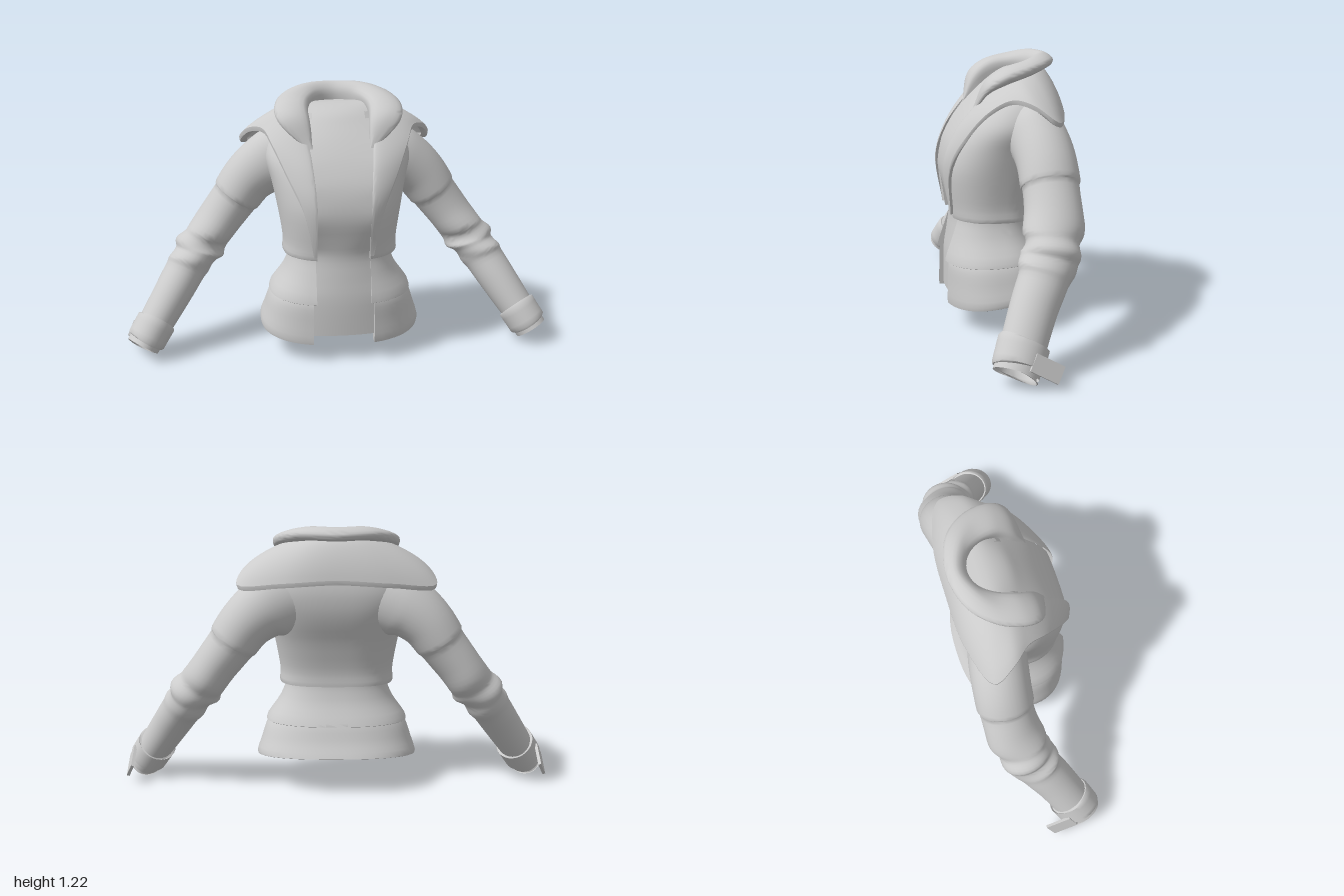
import * as THREE from 'three';
import { mergeVertices, toCreasedNormals } from 'three/addons/utils/BufferGeometryUtils.js';

const V = (x, y, z) => new THREE.Vector3(x, y, z);
const material = new THREE.MeshStandardMaterial({ color: 0xcccccc, side: THREE.DoubleSide });

function part(name, geometry) {
  const mesh = new THREE.Mesh(geometry, material);
  mesh.name = name;
  return mesh;
}

// Surface through a grid of points given by point(i / nu, j / nv, i)
function grid(point, nu, nv) {
  const pos = [], index = [];
  for (let j = 0; j <= nv; j++) {
    for (let i = 0; i <= nu; i++) {
      pos.push(...point(i / nu, j / nv, i).toArray());
      if (i < nu && j < nv) {
        const a = j * (nu + 1) + i, b = a + nu + 1;
        index.push(a, a + 1, b + 1, a, b + 1, b);
      }
    }
  }
  const geo = new THREE.BufferGeometry();
  geo.setAttribute('position', new THREE.Float32BufferAttribute(pos, 3));
  geo.setIndex(index);
  return toCreasedNormals(mergeVertices(geo, 1e-4), 0.9);
}

// Smooth curve through rows of six numbers
function rowSpline(rows) {
  const c1 = new THREE.CatmullRomCurve3(rows.map(r => V(r[0], r[1], r[2])));
  const c2 = new THREE.CatmullRomCurve3(rows.map(r => V(r[3], r[4], r[5])));
  return t => [...c1.getPoint(t).toArray(), ...c2.getPoint(t).toArray()];
}

// Body layer: rows are [front y, back y, half width, front z, back z, centre z].
// It wraps round the back from one front edge to the other, with folded edges;
// a lower backPower squares the back off.
const BOX = 0.83;
const power = (s, e) => Math.sign(s) * Math.abs(s) ** e;
function bodyLayer(rows, edge, backPower = BOX) {
  const at = rowSpline(rows), nu = 56;
  return grid((u, v, i) => {
    const [yf, yb, w, zf, zb, zc] = at(v);
    const k = THREE.MathUtils.clamp((i - 1) / (nu - 2), 0, 1);
    const a0 = Math.asin(Math.min(1, (edge / w) ** (1 / BOX)));
    const a = a0 + (Math.PI * 2 - 2 * a0) * k;
    const e = Math.cos(a) > 0 ? BOX : backPower;
    const c = power(Math.cos(a), e);
    const fold = i === 0 || i === nu ? 0.025 : 0;
    return V(w * power(Math.sin(a), e), THREE.MathUtils.lerp(yb, yf, (c + 1) / 2),
      zc + (c > 0 ? zf - zc : zc - zb) * c - fold);
  }, nu, (rows.length - 1) * 4);
}

// Front panel in the opening, from [y, half width, depth at centre, depth at side]
function panel(rows) {
  const at = rowSpline(rows.map(r => [...r, 0, 0]));
  return grid((u, v) => {
    const [y, w, z, side] = at(v), s = u * 2 - 1;
    return V(s * w, y, THREE.MathUtils.lerp(z, side, s * s));
  }, 12, 44);
}

// Surface across symmetric curves, each given by its left half from front to back
function drape(halves, nu, nv, bulge = 0) {
  const curves = halves.map(h => new THREE.CatmullRomCurve3([
    ...h.map(p => V(...p)), ...h.slice(0, -1).reverse().map(p => V(-p[0], p[1], p[2]))]));
  return grid((u, v) => {
    const across = new THREE.CatmullRomCurve3(curves.map(c => c.getPoint(u)));
    const p = across.getPoint(v);
    const lift = bulge * Math.sin(Math.PI * v) * Math.sin(Math.PI * u);
    return p.add(V(p.x * 2, 0.6, p.z * 2).multiplyScalar(lift));
  }, nu, nv);
}

// Tube with oval rings: rows are [x, y, z, radius across, radius front to back, wrinkle]
function ovalTube(rows, steps) {
  const at = rowSpline(rows);
  return grid((u, v) => {
    const [x, y, z, r1, r2, wrinkle] = at(v);
    const a = at(Math.max(0, v - 0.03)), b = at(Math.min(1, v + 0.03));
    const t = V(b[0] - a[0], b[1] - a[1], b[2] - a[2]).normalize();
    const n = V(-t.y, t.x, 0).normalize(), m = V(0, 0, 0).crossVectors(t, n);
    const ang = u * Math.PI * 2;
    const k = 1 + wrinkle * Math.sin(ang * 2 + v * 25);
    return V(x, y, z).addScaledVector(n, r1 * k * Math.cos(ang))
      .addScaledVector(m, r2 * k * Math.sin(ang))
      .addScaledVector(t, wrinkle * 0.5 * Math.sin(ang + 1));
  }, 32, (rows.length - 1) * steps);
}

function buildSleeve() {
  const arm = new THREE.Group();
  arm.add(part('sleeve', ovalTube([
    [0.21, 0.90, -0.105, 0.155, 0.125, 0],
    [0.28, 0.875, -0.12, 0.155, 0.128, 0],
    [0.34, 0.845, -0.13, 0.138, 0.13, 0],
    [0.41, 0.785, -0.138, 0.124, 0.13, 0],
    [0.465, 0.71, -0.14, 0.117, 0.13, 0],
    [0.473, 0.698, -0.14, 0.109, 0.123, 0],
    [0.54, 0.61, -0.135, 0.104, 0.123, 0.02],
    [0.60, 0.53, -0.122, 0.105, 0.126, 0.05],
    [0.622, 0.50, -0.113, 0.098, 0.118, 0.05],
    [0.65, 0.465, -0.10, 0.108, 0.127, 0.07],
    [0.672, 0.435, -0.085, 0.096, 0.116, 0.05],
    [0.695, 0.405, -0.07, 0.099, 0.117, 0.05],
    [0.72, 0.37, -0.05, 0.091, 0.108, 0.02],
    [0.78, 0.28, 0.002, 0.088, 0.10, 0],
    [0.865, 0.152, 0.065, 0.080, 0.095, 0],
    [0.925, 0.06, 0.107, 0.076, 0.095, 0]], 4)));
  arm.add(part('sleeveLining', ovalTube([
    [0.78, 0.28, 0.002, 0.072, 0.085, 0],
    [0.865, 0.152, 0.065, 0.067, 0.082, 0],
    [0.923, 0.063, 0.105, 0.064, 0.083, 0],
    [0.925, 0.06, 0.107, 0.076, 0.095, 0]], 3)));
  // Strap band round the wrist with a loose end
  arm.add(part('cuffBand', ovalTube([
    [0.858, 0.163, 0.059, 0.080, 0.095, 0],
    [0.860, 0.160, 0.061, 0.092, 0.108, 0],
    [0.885, 0.122, 0.079, 0.091, 0.107, 0],
    [0.909, 0.085, 0.096, 0.090, 0.106, 0],
    [0.911, 0.082, 0.097, 0.077, 0.095, 0]], 2)));
  const tab = part('cuffTab', new THREE.BoxGeometry(0.014, 0.075, 0.13));
  tab.position.set(0.974, 0.095, -0.008);
  tab.rotation.set(-0.52, 0, 0.4);
  arm.add(tab);
  return arm;
}

export function createModel() {
  const model = new THREE.Group();
  model.name = 'jacket';

  model.add(part('bodice', bodyLayer([
    [0.515, 0.515, 0.235, 0.225, -0.125, 0.03],
    [0.49, 0.49, 0.262, 0.24, -0.148, 0.03],
    [0.55, 0.55, 0.262, 0.25, -0.148, 0.03],
    [0.70, 0.70, 0.285, 0.266, -0.185, 0.01],
    [0.82, 0.82, 0.31, 0.235, -0.23, -0.02],
    [0.92, 0.92, 0.335, 0.175, -0.245, -0.06],
    [1.00, 1.00, 0.31, 0.11, -0.235, -0.08],
    [1.06, 1.06, 0.26, 0.06, -0.22, -0.09],
    [1.12, 1.13, 0.19, 0.02, -0.20, -0.09]], 0.12, 0.7)));

  // Two flared tiers below the waist
  model.add(part('upperPeplum', bodyLayer([
    [0.54, 0.54, 0.232, 0.222, -0.125, 0.03],
    [0.48, 0.48, 0.236, 0.227, -0.13, 0.03],
    [0.40, 0.41, 0.265, 0.248, -0.15, 0.03],
    [0.29, 0.315, 0.33, 0.276, -0.20, 0.03],
    [0.287, 0.312, 0.315, 0.26, -0.188, 0.03]], 0.125)));
  model.add(part('lowerPeplum', bodyLayer([
    [0.32, 0.34, 0.295, 0.252, -0.175, 0.03],
    [0.28, 0.30, 0.325, 0.266, -0.195, 0.03],
    [0.19, 0.24, 0.352, 0.268, -0.22, 0.02],
    [0.09, 0.18, 0.372, 0.267, -0.255, 0.01],
    [0.092, 0.18, 0.350, 0.243, -0.235, 0.01],
    [0.19, 0.24, 0.332, 0.248, -0.20, 0.02]], 0.14)));

  // Inner front, flush with the lapels and closing over at the neck
  model.add(part('innerPanel', panel([
    [0.13, 0.155, 0.25, 0.235],
    [0.30, 0.145, 0.248, 0.232],
    [0.40, 0.135, 0.236, 0.216],
    [0.50, 0.13, 0.226, 0.203],
    [0.58, 0.13, 0.240, 0.228],
    [0.70, 0.13, 0.262, 0.260],
    [0.82, 0.13, 0.242, 0.24],
    [0.92, 0.135, 0.19, 0.188],
    [1.00, 0.145, 0.13, 0.122],
    [1.07, 0.15, 0.065, 0.045],
    [1.12, 0.145, 0.01, -0.02],
    [1.15, 0.13, -0.07, -0.08],
    [1.145, 0.09, -0.175, -0.165]])));

  // Lapels running up into a cape over the shoulders and back
  const capeEdge = [
    [0.135, 0.51, 0.240], [0.18, 0.74, 0.250], [0.25, 0.89, 0.182],
    [0.305, 1.0, 0.095], [0.345, 1.055, 0], [0.41, 1.04, -0.08],
    [0.442, 0.97, -0.18], [0.24, 0.985, -0.255], [0, 1.0, -0.268]];
  model.add(part('capeCollar', drape([[
    [0.12, 0.51, 0.240], [0.12, 0.74, 0.271], [0.13, 0.88, 0.222],
    [0.145, 1.0, 0.132], [0.17, 1.08, 0.055], [0.19, 1.14, -0.03],
    [0.17, 1.165, -0.10], [0.10, 1.17, -0.16], [0, 1.17, -0.18]],
    capeEdge], 96, 10, 0.033)));
  model.add(part('capeHem', drape([capeEdge,
    capeEdge.map(([x, y, z], i) => [x * 0.99, y - (i ? 0.02 : 0), z * 0.99]),
    capeEdge.map(([x, y, z], i) => [x * 0.92, y - (i ? 0.012 : 0), z * 0.92])], 96, 4)));

  // Folded neck collar: inside, crest, outer rim, underside
  model.add(part('neckCollar', drape([
    [[0.13, 0.97, 0.125], [0.13, 1.04, 0.07], [0.14, 1.08, 0],
      [0.13, 1.10, -0.08], [0.08, 1.10, -0.14], [0, 1.10, -0.165]],
    [[0.13, 0.985, 0.138], [0.14, 1.10, 0.085], [0.145, 1.16, 0.01],
      [0.12, 1.18, -0.08], [0.075, 1.19, -0.14], [0, 1.19, -0.165]],
    [[0.14, 0.985, 0.138], [0.205, 1.12, 0.092], [0.225, 1.172, 0.02],
      [0.19, 1.205, -0.09], [0.12, 1.225, -0.16], [0, 1.226, -0.205]],
    [[0.15, 0.985, 0.136], [0.265, 1.10, 0.09], [0.288, 1.145, 0.02],
      [0.26, 1.18, -0.10], [0.17, 1.20, -0.205], [0, 1.20, -0.25]],
    [[0.15, 0.98, 0.131], [0.26, 1.078, 0.085], [0.282, 1.115, 0.015],
      [0.255, 1.15, -0.10], [0.165, 1.175, -0.20], [0, 1.175, -0.245]],
    [[0.14, 0.975, 0.13], [0.17, 1.06, 0.075], [0.19, 1.11, 0],
      [0.17, 1.14, -0.10], [0.11, 1.16, -0.16], [0, 1.16, -0.19]]], 64, 20)));

  const left = buildSleeve();
  left.name = 'leftSleeve';
  const right = left.clone();
  right.name = 'rightSleeve';
  right.scale.x = -1;
  model.add(left, right);
  return model;
}
